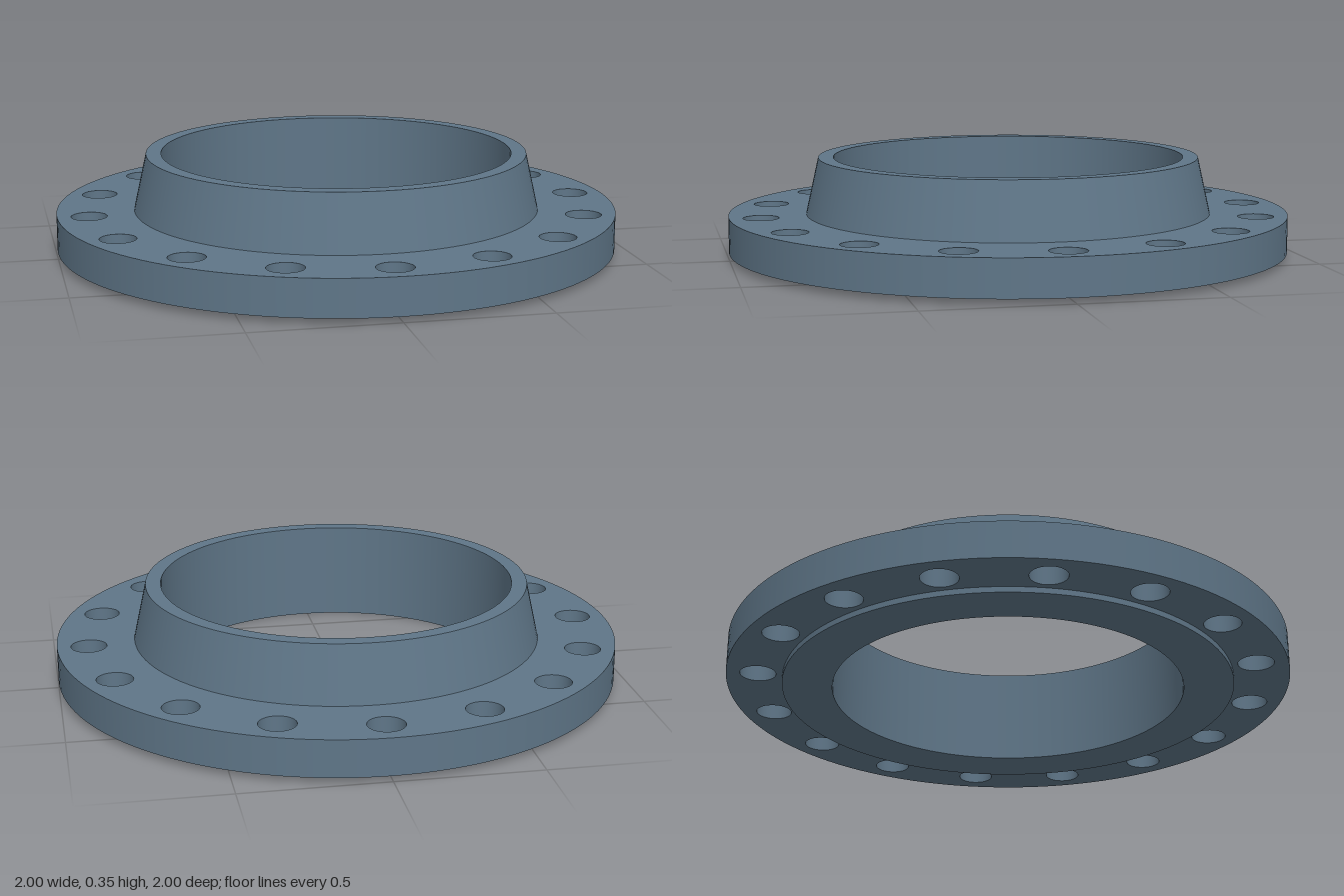
import * as THREE from 'three';
import { mergeGeometries } from 'three/addons/utils/BufferGeometryUtils.js';

const SEGMENTS = 128;
const BORE = 0.626, HUB_BASE = 0.725, HUB_TOP = 0.68, FACE = 0.803, RIM = 1;
const FACE_Y = 0.02, PLATE_Y = 0.15, TOP_Y = 0.35;
const BOLTS = 16, BOLT_CIRCLE = 0.888, BOLT_R = 0.0635;

const material = new THREE.MeshStandardMaterial({ color: 0x5f7688 });

// Revolve each straight run of a profile on its own, so edges stay sharp
function revolve(profile) {
  const strips = [];
  for (let i = 0; i < profile.length - 1; i++) {
    const pair = [profile[i], profile[i + 1]].map(([r, y]) => new THREE.Vector2(r, y));
    strips.push(new THREE.LatheGeometry(pair, SEGMENTS));
  }
  return mergeGeometries(strips);
}

function circle(r, n, cx = 0, cy = 0) {
  return Array.from({ length: n }, (_, i) => {
    const a = (i / n) * Math.PI * 2;
    return new THREE.Vector2(cx + r * Math.cos(a), cy + r * Math.sin(a));
  });
}

const boltCentres = circle(BOLT_CIRCLE, BOLTS);

// Flat ring pierced by the bolt holes, facing up (+1) or down (-1)
function drilledRing(inner, y, facing) {
  const shape = new THREE.Shape(circle(RIM, SEGMENTS));
  shape.holes.push(new THREE.Path(circle(inner, SEGMENTS)));
  for (const c of boltCentres) shape.holes.push(new THREE.Path(circle(BOLT_R, 32, c.x, c.y)));
  return new THREE.ShapeGeometry(shape).rotateX(-facing * Math.PI / 2).translate(0, y, 0);
}

export function createModel() {
  const group = new THREE.Group();
  group.name = 'weldNeckFlange';
  const add = (name, geometry) => {
    const mesh = new THREE.Mesh(geometry, material);
    mesh.name = name;
    group.add(mesh);
  };

  // Bolting plate: rim wall and the two drilled faces
  add('plateRim', revolve([[RIM, FACE_Y], [RIM, PLATE_Y]]));
  add('plateTop', drilledRing(HUB_BASE, PLATE_Y, 1));
  add('plateUnderside', drilledRing(FACE, FACE_Y, -1));

  // Tapered hub, its top lip, and the bore running right through
  add('hub', revolve([[HUB_BASE, PLATE_Y], [HUB_TOP, TOP_Y], [BORE, TOP_Y]]));
  add('bore', revolve([[BORE, TOP_Y], [BORE, 0]]));

  // Raised sealing face underneath
  add('raisedFace', revolve([[BORE, 0], [FACE, 0], [FACE, FACE_Y]]));

  // Bolt hole walls, facing inward
  const wall = new THREE.LatheGeometry(
    [new THREE.Vector2(BOLT_R, PLATE_Y), new THREE.Vector2(BOLT_R, FACE_Y)], 32);
  add('boltHoles', mergeGeometries(boltCentres.map((c) => wall.clone().translate(c.x, 0, c.y))));

  return group;
}
